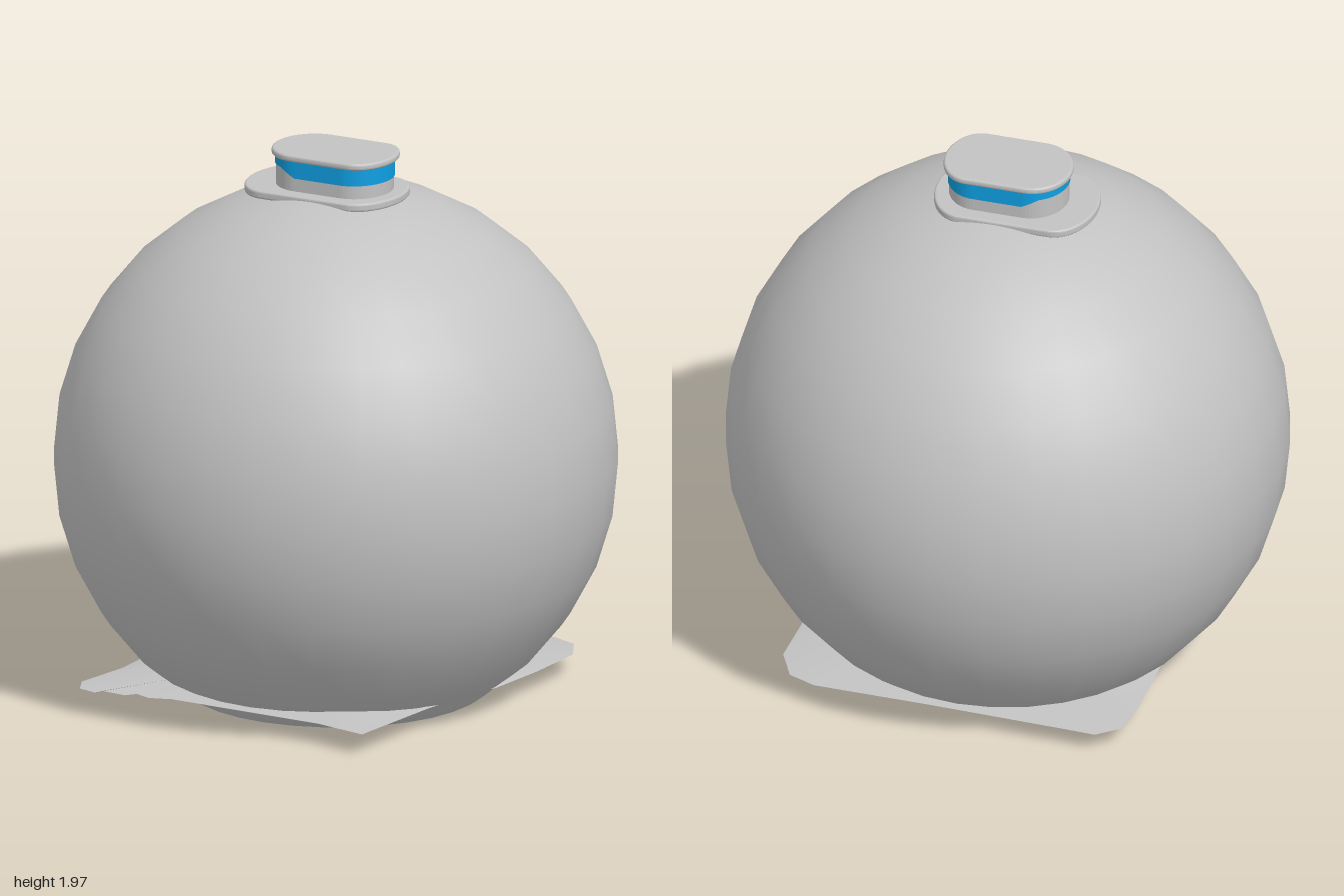
import * as THREE from 'three';

const grey = new THREE.MeshStandardMaterial({ color: 0xc2c2c2, side: THREE.DoubleSide });
const blue = new THREE.MeshStandardMaterial({ color: 0x0f9fe2, side: THREE.DoubleSide });

// Rounded oblong: straight sides from xa to xb, half-elliptic ends reaching x0 and x1
function oblong(x0, xa, xb, x1, r) {
  const s = new THREE.Shape();
  s.moveTo(xa, -r);
  s.lineTo(xb, -r);
  s.absellipse(xb, 0, x1 - xb, r, -Math.PI / 2, Math.PI / 2, false);
  s.lineTo(xa, r);
  s.absellipse(xa, 0, xa - x0, r, Math.PI / 2, Math.PI * 1.5, false);
  return s;
}

function add(group, name, geometry, material) {
  const mesh = new THREE.Mesh(geometry, material);
  mesh.name = name;
  group.add(mesh);
}

// Upright slab between two heights, with an optional rounded rim
function slab(shape, y0, y1, bevel = 0) {
  const g = new THREE.ExtrudeGeometry(shape, {
    depth: y1 - y0 - 2 * bevel, curveSegments: 16, bevelEnabled: bevel > 0,
    bevelThickness: bevel, bevelSize: bevel, bevelOffset: -bevel, bevelSegments: 3,
  });
  return g.rotateX(-Math.PI / 2).translate(0, y0 + bevel, 0);
}

// Triangle strip between two closed rings of [x, y, z] points
function ringStrip(lower, upper) {
  const n = lower.length, index = [];
  for (let i = 0; i < n; i++) {
    const j = (i + 1) % n;
    index.push(i, n + j, j, i, n + i, n + j);
  }
  const g = new THREE.BufferGeometry();
  g.setAttribute('position', new THREE.Float32BufferAttribute([...lower, ...upper].flat(), 3));
  g.setIndex(index);
  g.computeVertexNormals();
  return g;
}

export function createModel() {
  const model = new THREE.Group();
  const cy = 0.845;

  // Globe body, cut flat at the foot
  const profile = [new THREE.Vector2(0.535, 0)];
  for (let i = 5; i >= -8; i--) {
    const a = (-i * Math.PI) / 16;
    profile.push(new THREE.Vector2(Math.max(Math.cos(a), 0), cy + Math.sin(a)));
  }
  add(model, 'globeBody', new THREE.LatheGeometry(profile, 32), grey);
  add(model, 'footDisc', new THREE.CircleGeometry(0.535, 32).rotateX(Math.PI / 2), grey);

  // Ragged sheet round the foot, rising slightly towards the body
  const outline = [
    [0.5, 0.735], [0.3, 0.69], [-0.3, 0.665], [-0.38, 0.69], [-0.44, 0.665], [-0.47, 0.7],
    [-0.56, 0.69], [-0.58, 0.72], [-0.65, 0.7], [-0.685, 0.62], [-0.64, 0.4], [-0.62, 0],
    [-0.62, -0.45], [-0.6, -0.62], [-0.52, -0.685], [-0.4, -0.68], [0.1, -0.665], [0.52, -0.66],
    [0.62, -0.62], [0.68, -0.5], [0.67, -0.25], [0.64, 0], [0.6, 0.1], [0.55, 0.35],
  ];
  const outer = outline.map(([x, z]) => [x, 0.077, z]);
  const inner = outline.map(([x, z]) => {
    const k = 0.6 / Math.hypot(x, z);
    return [x * k, 0.095, z * k];
  });
  add(model, 'raggedSheet', ringStrip(outer, inner), grey);

  // Neck on the crown: flange, oblong collar and lid
  add(model, 'neckFlange', slab(oblong(-0.33, -0.2, 0.13, 0.26, 0.195), 1.808, 1.838, 0.008), grey);
  add(model, 'neckCollar', slab(oblong(-0.22, -0.09, 0.09, 0.21, 0.14), 1.8, 1.955), grey);
  add(model, 'lid', slab(oblong(-0.235, -0.1, 0.12, 0.228, 0.154), 1.947, 1.972, 0.009), grey);

  // Painted band, narrower at one end
  const pts = oblong(-0.224, -0.09, 0.09, 0.214, 0.144).getPoints(24);
  const path = [];
  pts.forEach((p, i) => {
    const q = pts[(i + 1) % pts.length];
    const steps = Math.max(1, Math.ceil(p.distanceTo(q) / 0.02));
    if (p.distanceTo(q) > 1e-4) {
      for (let k = 0; k < steps; k++) path.push(p.clone().lerp(q, k / steps));
    }
  });
  const bandBottom = (x) => 1.886 + 0.03 * THREE.MathUtils.clamp((-0.09 - x) / 0.06, 0, 1);
  add(model, 'blueBand', ringStrip(
    path.map((p) => [p.x, bandBottom(p.x), -p.y]),
    path.map((p) => [p.x, 1.95, -p.y]),
  ).toNonIndexed(), blue);

  // Fix winding so the band faces outward
  const band = model.getObjectByName('blueBand').geometry;
  const pos = band.attributes.position, nor = band.attributes.normal;
  if (pos.getX(0) * nor.getX(0) + pos.getZ(0) * nor.getZ(0) < 0) {
    for (let i = 0; i < pos.count; i += 3) {
      const b = new THREE.Vector3().fromBufferAttribute(pos, i + 1);
      pos.setXYZ(i + 1, pos.getX(i + 2), pos.getY(i + 2), pos.getZ(i + 2));
      pos.setXYZ(i + 2, b.x, b.y, b.z);
    }
    band.computeVertexNormals();
  }
  return model;
}
